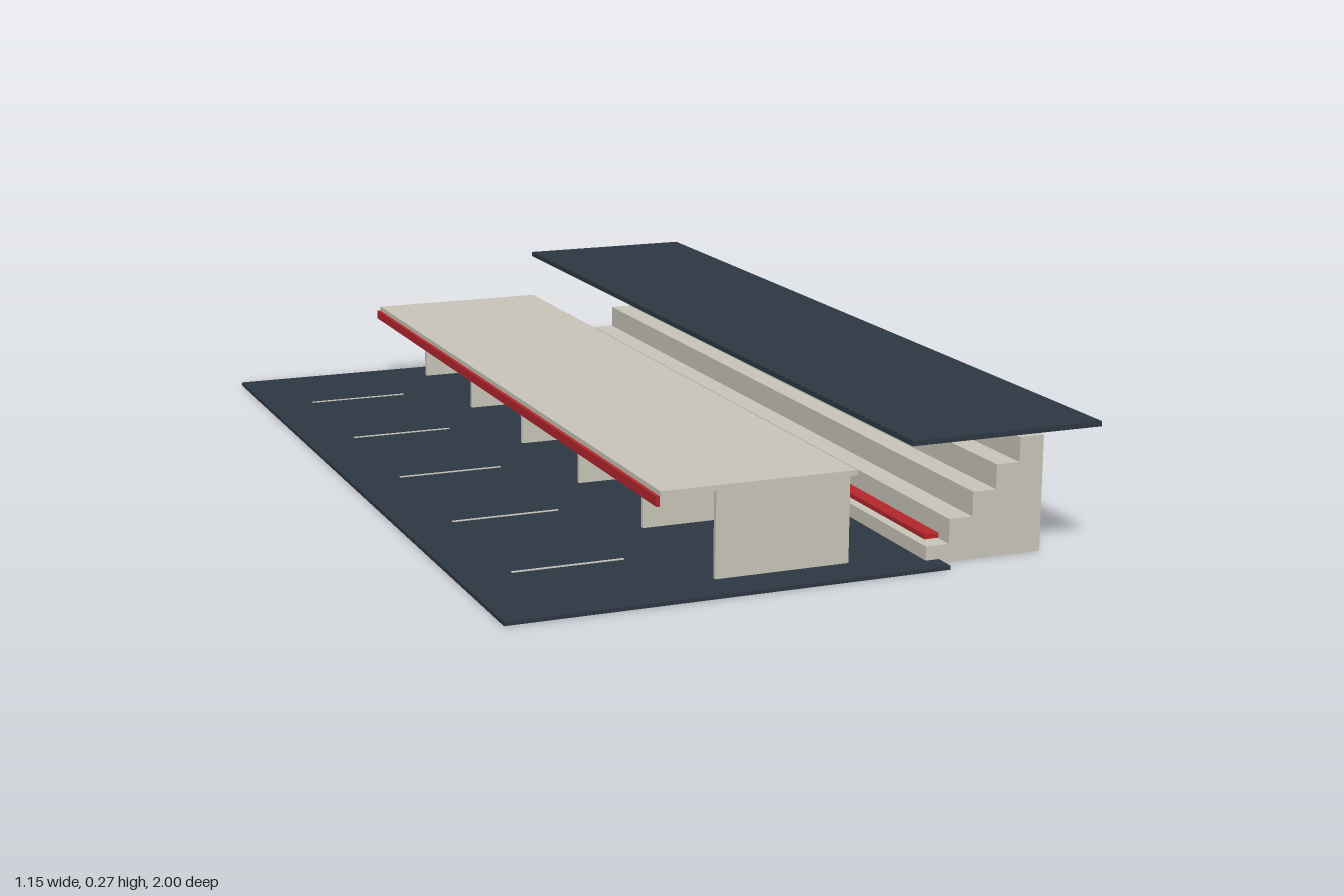
import * as THREE from 'three';

export function createModel() {
  const root = new THREE.Group();
  root.name = 'pitLaneAndGrandstand';

  const mat = (name, color) => {
    const m = new THREE.MeshStandardMaterial({ color });
    m.name = name;
    return m;
  };
  const concrete = mat('concrete', 0xc8c4b8);
  const slate = mat('slate', 0x2d3743);
  const red = mat('red', 0xb3262b);

  // Box given by its lower and upper limits on each axis
  const box = (parent, name, material, [x0, x1], [y0, y1], [z0, z1]) => {
    const mesh = new THREE.Mesh(new THREE.BoxGeometry(x1 - x0, y1 - y0, z1 - z0), material);
    mesh.position.set((x0 + x1) / 2, (y0 + y1) / 2, (z0 + z1) / 2);
    mesh.name = name;
    parent.add(mesh);
    return mesh;
  };
  const group = (name) => {
    const g = new THREE.Group();
    g.name = name;
    root.add(g);
    return g;
  };

  // Paved apron with one painted line in front of each garage
  const apron = group('apron');
  box(apron, 'pavement', slate, [-0.575, 0.294], [0.0005, 0.008], [-0.955, 0.955]);
  for (let i = -2; i <= 2; i++) {
    const z = i * 0.348;
    box(apron, 'bayLine', concrete, [-0.47, -0.25], [0.007, 0.0095], [z - 0.003, z + 0.003]);
  }

  // Garage building: back wall, six dividers, overhanging roof and red fascia
  const garages = group('garages');
  box(garages, 'backWall', concrete, [0.118, 0.127], [0, 0.175], [-0.87, 0.87]);
  for (let i = 0; i < 6; i++) {
    const z = (i - 2.5) * 0.346;
    box(garages, 'divider', concrete, [-0.141, 0.118], [0, 0.175], [z - 0.005, z + 0.005]);
  }
  box(garages, 'roof', concrete, [-0.25, 0.14], [0.175, 0.185], [-0.872, 0.872]);
  box(garages, 'fascia', red, [-0.258, -0.251], [0.157, 0.176], [-0.872, 0.872]);

  // Stepped grandstand, extruded along z
  const stand = group('grandstand');
  const steps = 5, x0 = 0.266, tread = 0.048, rise = 0.0477, back = 0.508;
  const profile = new THREE.Shape();
  profile.moveTo(back, 0);
  profile.lineTo(x0, 0);
  for (let i = 0; i < steps; i++) {
    const y = 0.035 + i * rise;
    profile.lineTo(x0 + i * tread, y);
    profile.lineTo(i === steps - 1 ? back : x0 + (i + 1) * tread, y);
  }
  profile.closePath();
  const terrace = new THREE.Mesh(
    new THREE.ExtrudeGeometry(profile, { depth: 1.82, bevelEnabled: false }), concrete);
  terrace.position.z = -0.91;
  terrace.name = 'terrace';
  stand.add(terrace);
  box(stand, 'bench', red, [0.276, 0.306], [0.041, 0.05], [-0.885, 0.885]);

  // Canopy on three rear posts
  for (const z of [-0.87, 0, 0.87]) {
    box(stand, 'post', concrete, [0.505, 0.515], [0, 0.258], [z - 0.005, z + 0.005]);
  }
  box(stand, 'canopy', slate, [0.183, 0.575], [0.257, 0.267], [-1, 1]);

  return root;
}
